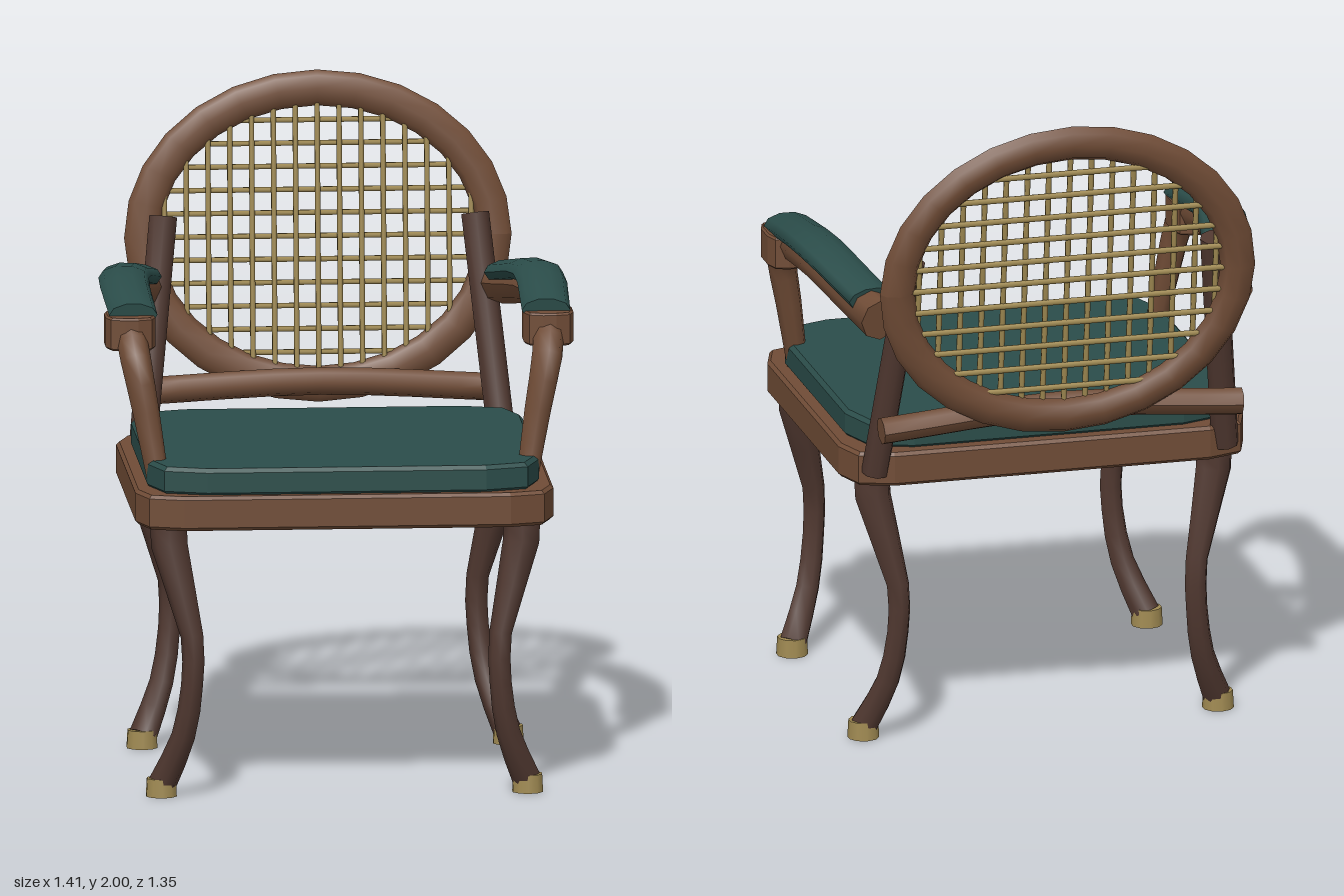
import * as THREE from 'three';

const mat = (color) => new THREE.MeshStandardMaterial({ color });
const wood = mat(0x704c36), darkWood = mat(0x503830), fabric = mat(0x2b4d4a), cane = mat(0xa08a52);

function add(parent, name, geometry, material) {
  const mesh = new THREE.Mesh(geometry, material);
  mesh.name = name;
  parent.add(mesh);
  return mesh;
}

// Capped tapering tube through points [x, y, z, radius]; flat squashes its height.
function taperTube(points, steps, sides, flat = 1) {
  const curve = new THREE.CatmullRomCurve3(points.map((p) => new THREE.Vector3(p[0], p[1], p[2])));
  const first = curve.getTangent(0);
  const ref = Math.abs(first.y) > 0.6 ? new THREE.Vector3(0, 0, 1) : new THREE.Vector3(0, 1, 0);
  const pos = [], index = [], row = sides + 1;
  const ring = (t) => {
    const c = curve.getPoint(t), T = curve.getTangent(t);
    const side = new THREE.Vector3().crossVectors(ref, T).normalize();
    const up = new THREE.Vector3().crossVectors(T, side);
    const f = t * (points.length - 1), k = Math.min(Math.floor(f), points.length - 2);
    const r = THREE.MathUtils.lerp(points[k][3], points[k + 1][3], f - k);
    for (let j = 0; j <= sides; j++) {
      const a = (j % sides) / sides * Math.PI * 2;
      const p = c.clone().addScaledVector(side, r * Math.cos(a)).addScaledVector(up, r * flat * Math.sin(a));
      pos.push(p.x, p.y, p.z);
    }
    return c;
  };
  for (let i = 0; i <= steps; i++) ring(i / steps);
  for (let i = 0; i < steps; i++) for (let j = 0; j < sides; j++) {
    const a = i * row + j, b = a + row;
    index.push(a, a + 1, b, a + 1, b + 1, b);
  }
  for (const t of [0, 1]) {
    const start = pos.length / 3, c = ring(t), mid = pos.length / 3;
    pos.push(c.x, c.y, c.z);
    for (let j = 0; j < sides; j++) {
      const a = start + j;
      index.push(mid, t ? a : a + 1, t ? a + 1 : a);
    }
  }
  const g = new THREE.BufferGeometry();
  g.setAttribute('position', new THREE.Float32BufferAttribute(pos, 3));
  g.setIndex(index);
  g.computeVertexNormals();
  return g;
}

// Horizontal slab with softened corners, standing on y = 0 and centred on x, z.
function slab(w, d, h, r, bevel) {
  const x = w / 2 - bevel, y = d / 2 - bevel;
  const s = new THREE.Shape();
  s.moveTo(-x + r, -y);
  s.lineTo(x - r, -y); s.quadraticCurveTo(x, -y, x, -y + r);
  s.lineTo(x, y - r); s.quadraticCurveTo(x, y, x - r, y);
  s.lineTo(-x + r, y); s.quadraticCurveTo(-x, y, -x, y - r);
  s.lineTo(-x, -y + r); s.quadraticCurveTo(-x, -y, -x + r, -y);
  return new THREE.ExtrudeGeometry(s, {
    depth: h - 2 * bevel, curveSegments: 2, bevelEnabled: true,
    bevelSize: bevel, bevelThickness: bevel, bevelSegments: 1,
  }).rotateX(-Math.PI / 2).translate(0, bevel, 0);
}

export function createModel() {
  const chair = new THREE.Group();
  chair.name = 'armchair';

  // Seat
  add(chair, 'seatFrame', slab(1.26, 1.1, 0.105, 0.13, 0.01), wood).position.set(0, 0.83, 0.12);
  add(chair, 'seatCushion', slab(1.18, 1.035, 0.085, 0.16, 0.012), fabric).position.set(0, 0.93, 0.128);

  for (const s of [1, -1]) {
    const sideName = s > 0 ? 'left' : 'right';
    const mirror = (pts) => pts.map(([x, y, z, r]) => [s * x, y, z, r]);

    // Curved legs with metal feet; the knees bow outward front and back
    for (const [end, z0, dir] of [['Front', 0.535, 1], ['Back', -0.29, -1]]) {
      add(chair, sideName + end + 'Leg', taperTube(mirror([
        [0.53, 0.85, z0 + dir * 0.025, 0.056],
        [0.53, 0.77, z0 + dir * 0.03, 0.055],
        [0.465, 0.5, z0 + dir * 0.077, 0.034],
        [0.465, 0.35, z0 + dir * 0.077, 0.033],
        [0.49, 0.19, z0 + dir * 0.052, 0.036],
        [0.548, 0.04, z0, 0.043],
      ]), 10, 8), darkWood);
      add(chair, sideName + end + 'Foot', new THREE.CylinderGeometry(0.045, 0.048, 0.055, 10), cane)
        .position.set(s * 0.552, 0.0275, z0);
    }

    // Leaning post that carries the back
    add(chair, sideName + 'BackPost', taperTube(mirror([
      [0.545, 0.87, -0.395, 0.042], [0.47, 1.575, -0.545, 0.042],
    ]), 1, 8), darkWood);

    // Arm: support, front block, rail and pad
    add(chair, sideName + 'ArmSupport', taperTube(mirror([
      [0.555, 0.94, 0.465, 0.032], [0.59, 1.15, 0.435, 0.04],
      [0.62, 1.31, 0.41, 0.046], [0.63, 1.38, 0.33, 0.046],
    ]), 6, 8), wood);
    add(chair, sideName + 'ArmBlock', slab(0.15, 0.185, 0.1, 0.05, 0.006), wood)
      .position.set(s * 0.63, 1.33, 0.29);
    add(chair, sideName + 'ArmRail', taperTube(mirror([
      [0.62, 1.39, 0.3, 0.054], [0.625, 1.43, -0.05, 0.054], [0.545, 1.375, -0.47, 0.065],
    ]), 8, 8), wood);
    add(chair, sideName + 'ArmPad', taperTube(mirror([
      [0.622, 1.432, 0.33, 0.073], [0.624, 1.478, -0.05, 0.076], [0.557, 1.42, -0.4, 0.073],
    ]), 6, 10, 0.5), fabric);
  }

  // Bowed rail below the back
  add(chair, 'lowerBackRail', taperTube([
    [-0.56, 1.043, -0.528, 0.042], [0, 1.073, -0.507, 0.042], [0.56, 1.043, -0.528, 0.042],
  ], 8, 8), wood);

  // Oval back, tilted rearward
  const back = new THREE.Group();
  back.name = 'ovalBack';
  back.position.set(0, 1.5, -0.602);
  back.rotation.x = -0.1;
  chair.add(back);
  const A = 0.53, B = 0.447;
  const hoop = new THREE.TorusGeometry(0.5, 0.054, 8, 28);
  const p = hoop.attributes.position;
  for (let i = 0; i < p.count; i++) {
    const u = Math.atan2(p.getY(i), p.getX(i));
    p.setXYZ(i, p.getX(i) + Math.cos(u) * (A - 0.5), p.getY(i) + Math.sin(u) * (B - 0.5), p.getZ(i) * 0.62);
  }
  hoop.computeVertexNormals();
  add(back, 'backHoop', hoop, wood);

  // Woven cane lattice trimmed to the oval
  const strand = (name, length) => add(back, name, new THREE.CylinderGeometry(0.009, 0.009, length, 6), cane);
  for (let k = -7; k <= 7; k++) {
    const x = k * 0.066;
    strand('verticalCane', 2 * B * Math.sqrt(1 - (x / A) ** 2)).position.set(x, 0, 0.005);
  }
  for (let k = -5; k <= 5; k++) {
    const y = k * 0.07;
    const bar = strand('horizontalCane', 2 * A * Math.sqrt(1 - (y / B) ** 2));
    bar.rotation.z = Math.PI / 2;
    bar.position.set(0, y, -0.005);
  }
  return chair;
}
